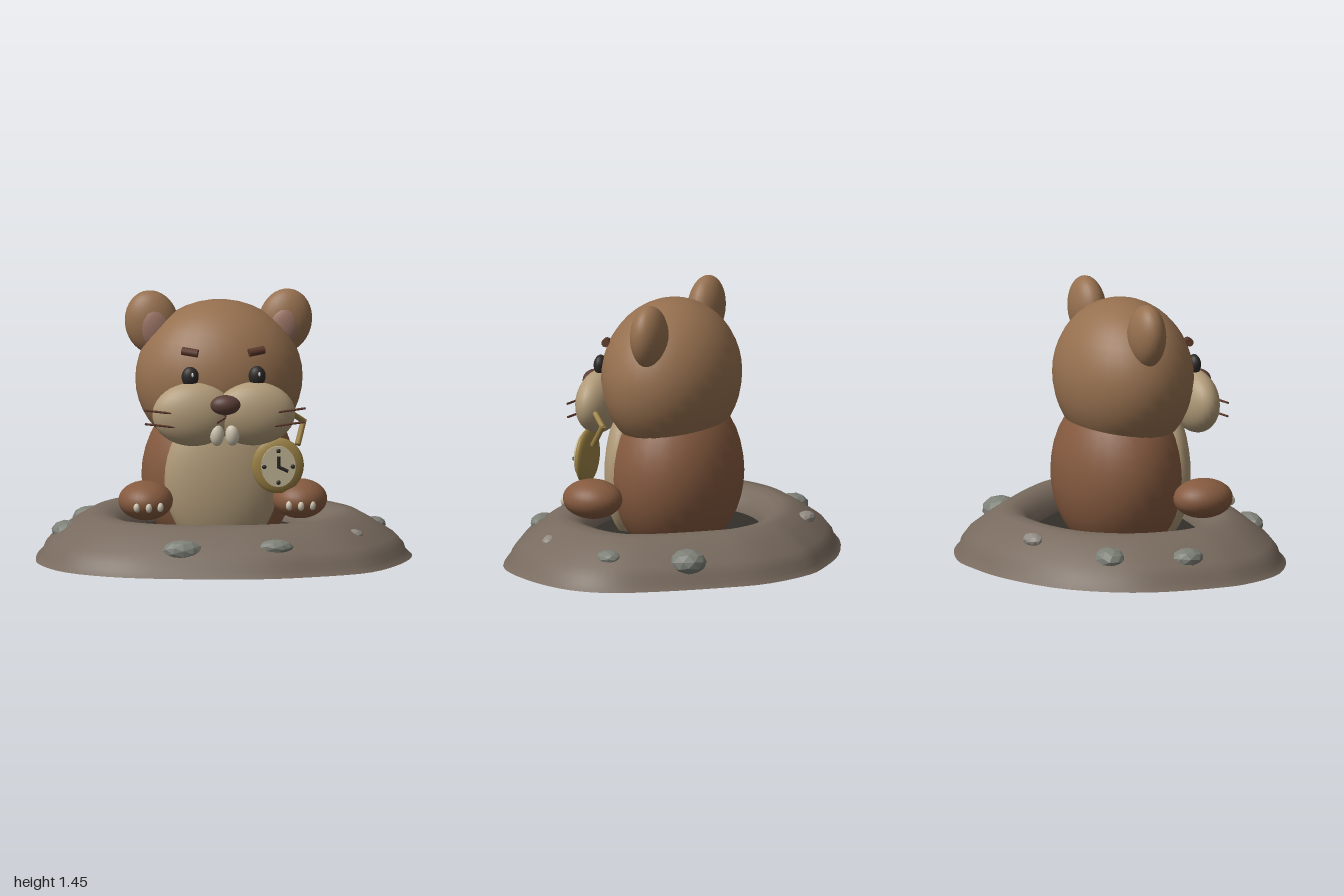
import * as THREE from 'three';

const mat = (color, extra = {}) => new THREE.MeshStandardMaterial({ color, ...extra });
const M = {
  head: mat(0x96704f), body: mat(0x855a3f), cream: mat(0xb09a78), pink: mat(0x9c7565),
  dark: mat(0x2b2826), brown: mat(0x5c382b), nose: mat(0x5a3d36), tooth: mat(0xcdc3ae),
  gold: mat(0x9c8245), face: mat(0xc2b596), white: mat(0xe8e6e0),
  soil: mat(0x786a5e, { side: THREE.DoubleSide }), pit: mat(0x33302a, { side: THREE.DoubleSide }),
  stone: mat(0x7d8077, { flatShading: true }), paleStone: mat(0x928c84, { flatShading: true }),
};

function add(parent, name, geometry, material, pos = [0, 0, 0], rot = [0, 0, 0]) {
  const m = new THREE.Mesh(geometry, material);
  m.name = name;
  m.position.set(...pos);
  m.rotation.set(...rot);
  parent.add(m);
  return m;
}

// Ellipsoid with the given centre and radii
function ball(parent, name, material, pos, radii, rot, seg = 28) {
  const m = add(parent, name, new THREE.SphereGeometry(1, seg, Math.round(seg * 0.7)), material, pos, rot);
  m.scale.set(...radii);
  return m;
}

// Straight rod between two points
function rod(parent, name, material, a, b, r, sides = 8) {
  const p = new THREE.Vector3(...a), q = new THREE.Vector3(...b);
  const m = add(parent, name, new THREE.CylinderGeometry(r, r, p.distanceTo(q), sides), material);
  m.position.copy(p).add(q).multiplyScalar(0.5);
  m.quaternion.setFromUnitVectors(new THREE.Vector3(0, 1, 0), q.sub(p).normalize());
  return m;
}

// Irregular ground outline (x, z)
const outline = new THREE.CatmullRomCurve3([
  [1, 0.11], [0.96, -0.06], [0.83, -0.27], [0.62, -0.53], [0.43, -0.72], [0.14, -0.845],
  [-0.02, -0.845], [-0.29, -0.8], [-0.64, -0.63], [-0.85, -0.4], [-0.947, -0.19], [-1, 0.13],
  [-0.995, 0.29], [-0.89, 0.53], [-0.66, 0.7], [-0.4, 0.78], [0.14, 0.835], [0.43, 0.79],
  [0.73, 0.68], [0.89, 0.48], [0.98, 0.27],
].map(([x, z]) => new THREE.Vector3(x, 0, z)), true);

// Skin through scaled copies of the outline; profile is [scale, y]
function loft(profile, n = 72) {
  const ring = outline.getPoints(n);
  const pos = [], idx = [];
  for (const [s, y] of profile)
    for (let i = 0; i < n; i++) pos.push(ring[i].x * s, y, ring[i].z * s);
  for (let j = 0; j < profile.length - 1; j++)
    for (let i = 0; i < n; i++) {
      const a = j * n + i, b = j * n + (i + 1) % n;
      idx.push(a, b, a + n, b, b + n, a + n);
    }
  const g = new THREE.BufferGeometry();
  g.setAttribute('position', new THREE.Float32BufferAttribute(pos, 3));
  g.setIndex(idx);
  g.computeVertexNormals();
  return g;
}

function createMound() {
  const mound = new THREE.Group();
  mound.name = 'mound';
  add(mound, 'moundSurface', loft([
    [1, 0.03], [0.967, 0.06], [0.955, 0.095], [0.91, 0.145], [0.8, 0.215], [0.71, 0.264],
    [0.64, 0.27], [0.58, 0.255], [0.53, 0.215], [0.505, 0.16], [0.5, 0.1],
  ]), M.soil);
  add(mound, 'pitFloor', loft([[0.505, 0.15], [0.001, 0.15]]), M.pit);
  add(mound, 'underside', loft([[0.001, 0.03], [1, 0.03]]), M.pit);
  // Half-buried stones: x, y, z, radii, pale?
  [
    [-0.67, 0.17, -0.35, 0.1, 0.06, 0.085], [-0.83, 0.165, 0.03, 0.08, 0.055, 0.09],
    [-0.26, 0.16, 0.68, 0.11, 0.06, 0.065], [0.235, 0.175, 0.69, 0.095, 0.043, 0.055],
    [0.63, 0.155, -0.35, 0.1, 0.07, 0.1], [0.81, 0.18, 0.03, 0.06, 0.04, 0.07],
    [0.66, 0.19, 0.44, 0.06, 0.035, 0.045, 1], [-0.28, 0.215, -0.61, 0.075, 0.035, 0.05, 1],
  ].forEach(([x, y, z, rx, ry, rz, pale], i) => {
    const g = new THREE.IcosahedronGeometry(1, 1).rotateY(i * 1.3).rotateX(i * 0.7);
    add(mound, 'stone' + (i + 1), g, pale ? M.paleStone : M.stone, [x, y, z]).scale.set(rx, ry, rz);
  });
  return mound;
}

function createWatch() {
  const watch = new THREE.Group();
  watch.name = 'pocketWatch';
  watch.position.set(0.287, 0.567, 0.41);
  ball(watch, 'watchCase', M.gold, [0, 0, 0], [0.138, 0.15, 0.034]);
  add(watch, 'watchFace', new THREE.CylinderGeometry(1, 1, 1, 28), M.face, [0, 0, 0.02], [Math.PI / 2, 0, 0])
    .scale.set(0.092, 0.035, 0.11);
  for (let i = 0; i < 4; i++) {
    const a = i * Math.PI / 2;
    ball(watch, 'hourMark', M.dark, [Math.cos(a) * 0.076, Math.sin(a) * 0.085, 0.042], [0.012, 0.012, 0.01], [0, 0, 0], 10);
  }
  rod(watch, 'minuteHand', M.dark, [0, -0.008, 0.044], [0, 0.055, 0.044], 0.009);
  rod(watch, 'hourHand', M.dark, [-0.004, 0.002, 0.044], [0.05, -0.025, 0.044], 0.009);
  return watch;
}

function createAnimal() {
  const a = new THREE.Group();
  a.name = 'animal';
  a.position.x = -0.02;
  ball(a, 'body', M.body, [0, 0.463, 0.02], [0.41, 0.46, 0.345]);
  ball(a, 'belly', M.cream, [0, 0.47, 0.25], [0.305, 0.4, 0.135]);
  ball(a, 'head', M.head, [0, 0.985, 0.052], [0.445, 0.415, 0.358], [0, 0, 0], 32);
  ball(a, 'nose', M.nose, [0, 0.913, 0.508], [0.08, 0.053, 0.054]);
  rod(a, 'mouthTop', M.brown, [0, 0.87, 0.495], [0, 0.845, 0.495], 0.008);
  rod(a, 'mouth', M.brown, [0, 0.845, 0.495], [-0.045, 0.818, 0.495], 0.009);

  // Mirrored parts, s = +1 for the left
  for (const s of [1, -1]) {
    const side = s > 0 ? 'left' : 'right';
    ball(a, side + 'Ear', M.head, [s * 0.355, 1.278, 0.015], [0.142, 0.172, 0.092], [0, 0, -s * 0.2]);
    ball(a, side + 'InnerEar', M.pink, [s * 0.345, 1.26, 0.07], [0.085, 0.115, 0.045], [0, 0, -s * 0.2]);
    ball(a, side + 'Cheek', M.cream, [s * 0.16, 0.845, 0.393], [0.22, 0.17, 0.108]);
    ball(a, side + 'Eye', M.dark, [s * 0.178, 1.045, 0.385], [0.046, 0.055, 0.034], [0, 0, 0], 18);
    ball(a, side + 'EyeGlint', M.white, [s * 0.178 + 0.01, 1.06, 0.416], [0.007, 0.012, 0.006], [0, 0, 0], 8);
    rod(a, side + 'Brow', M.brown, [s * 0.135, 1.167, 0.365], [s * 0.218, 1.178, 0.338], 0.022, 10);
    ball(a, side + 'Tooth', M.tooth, [s * 0.041, 0.745, 0.46], [0.038, 0.06, 0.036], [0, 0, 0], 16);
    rod(a, side + 'UpperWhisker', M.brown, [s * 0.28, 0.865, 0.475], [s * 0.43, 0.882, 0.46], 0.006);
    rod(a, side + 'LowerWhisker', M.brown, [s * 0.26, 0.79, 0.475], [s * 0.425, 0.808, 0.46], 0.006);

    ball(a, side + 'Foot', M.body, [s * 0.41, 0.373, 0.322], [0.145, 0.104, 0.162]);
    for (const d of [-0.062, 0, 0.062])
      ball(a, side + 'Claw', M.tooth, [s * 0.405 + d, 0.358, 0.475 - Math.abs(d) * 0.25], [0.018, 0.026, 0.022], [0, 0, 0], 12);
  }

  // Watch with two chain links
  a.add(createWatch());
  rod(a, 'upperChain', M.gold, [0.37, 0.83, 0.325], [0.437, 0.775, 0.248], 0.016, 8);
  rod(a, 'lowerChain', M.gold, [0.437, 0.785, 0.248], [0.398, 0.663, 0.325], 0.016, 8);
  return a;
}

export function createModel() {
  const model = new THREE.Group();
  model.name = 'animalOnMound';
  model.add(createMound(), createAnimal());
  return model;
}
